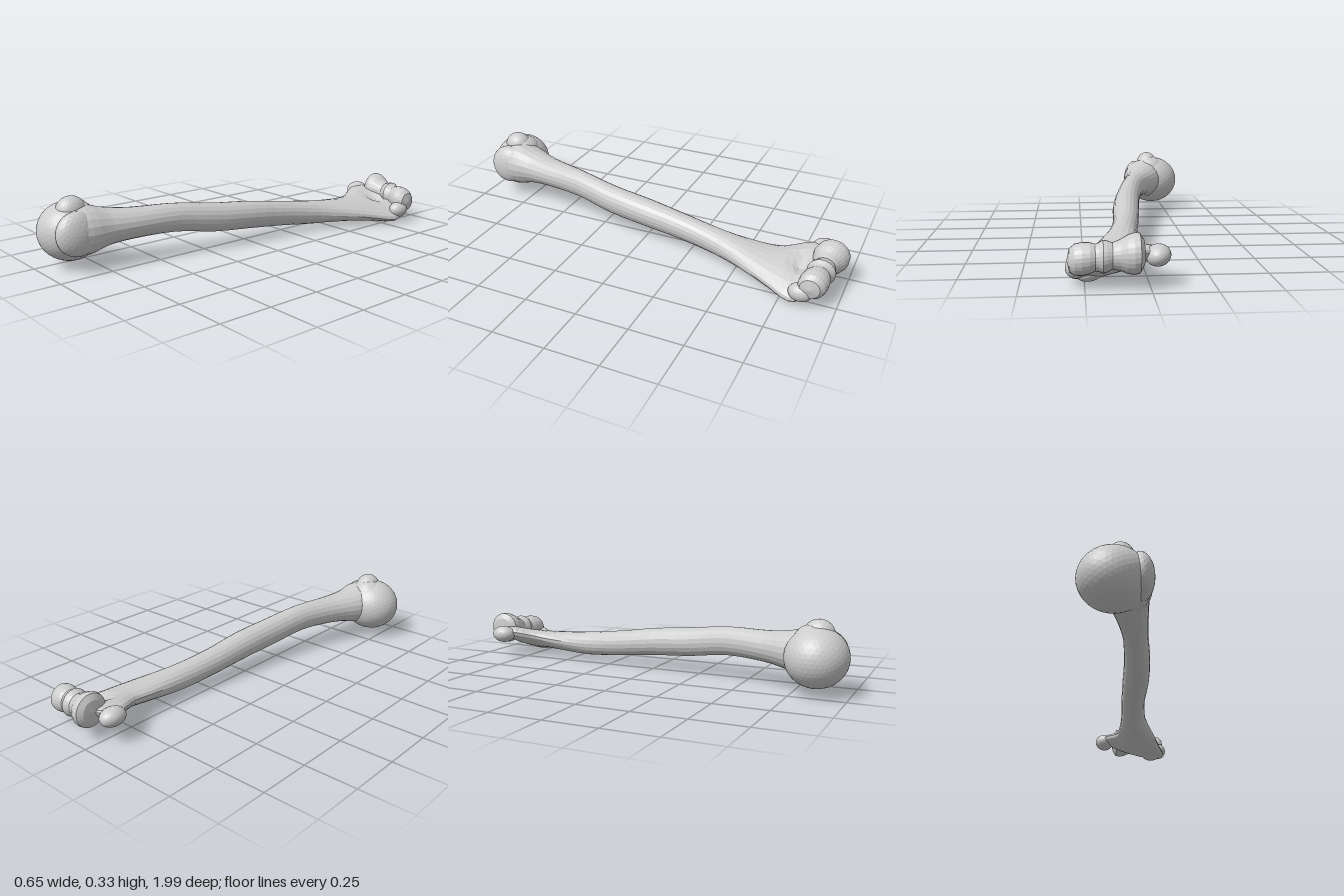
import * as THREE from 'three';

const bone = new THREE.MeshStandardMaterial({ color: 0xcccccc, flatShading: true });
bone.name = 'bone grey';

// Shaft cross-sections: z, centre x, centre y, half width, half height, tilt
const SECTIONS = [
  [0.95, -0.13, 0.17, 0.005, 0.005, 0],
  [0.92, -0.13, 0.17, 0.08, 0.09, 0],
  [0.82, -0.132, 0.172, 0.115, 0.115, 0],
  [0.72, -0.115, 0.175, 0.1, 0.088, 0],
  [0.6, -0.078, 0.177, 0.078, 0.072, 0],
  [0.4, -0.03, 0.177, 0.06, 0.068, 0],
  [0.2, 0.008, 0.15, 0.062, 0.07, 0],
  [0, 0.03, 0.132, 0.065, 0.068, 0],
  [-0.2, 0.045, 0.107, 0.06, 0.063, 0],
  [-0.4, 0.075, 0.085, 0.066, 0.06, -0.1],
  [-0.6, 0.122, 0.075, 0.104, 0.05, -0.2],
  [-0.7, 0.142, 0.072, 0.13, 0.046, -0.27],
  [-0.8, 0.14, 0.075, 0.178, 0.046, -0.3],
  [-0.87, 0.13, 0.09, 0.165, 0.04, -0.25],
  [-0.92, 0.13, 0.11, 0.1, 0.025, -0.2],
  [-0.94, 0.13, 0.11, 0.005, 0.005, -0.2],
];

// Cubic blend of neighbouring sections
function sectionAt(t) {
  const i = Math.min(Math.floor(t), SECTIONS.length - 2), f = t - i;
  const at = (k) => SECTIONS[Math.max(0, Math.min(SECTIONS.length - 1, k))];
  return SECTIONS[0].map((_, c) => {
    const [a, b, d, e] = [at(i - 1)[c], at(i)[c], at(i + 1)[c], at(i + 2)[c]];
    return b + 0.5 * f * (d - a + f * (2 * a - 5 * b + 4 * d - e + f * (3 * (b - d) + e - a)));
  });
}

function shaftGeometry(sides = 20, steps = 3) {
  const pos = [], index = [];
  const rows = (SECTIONS.length - 1) * steps;
  for (let r = 0; r <= rows; r++) {
    const [z, cx, cy, a, b, tilt] = sectionAt(r / steps);
    for (let j = 0; j < sides; j++) {
      const q = (j / sides) * Math.PI * 2;
      const u = a * Math.cos(q), v = b * Math.sin(q);
      const x = cx + u * Math.cos(tilt) - v * Math.sin(tilt);
      let y = cy + u * Math.sin(tilt) + v * Math.cos(tilt);
      // Hollow above the elbow joint
      if (v > 0) y -= 0.03 * Math.exp(-(((x - 0.14) / 0.05) ** 2) - ((z + 0.81) / 0.04) ** 2);
      pos.push(x, y, z);
      if (r < rows) {
        const k = r * sides + j, n = r * sides + ((j + 1) % sides);
        index.push(k, k + sides, n, n, k + sides, n + sides);
      }
    }
  }
  const g = new THREE.BufferGeometry();
  g.setAttribute('position', new THREE.Float32BufferAttribute(pos, 3));
  g.setIndex(index);
  g.computeVertexNormals();
  return g;
}

export function createModel() {
  const group = new THREE.Group();
  const add = (name, geometry) => {
    const mesh = new THREE.Mesh(geometry, bone);
    mesh.name = name;
    group.add(mesh);
    return mesh;
  };
  const knob = (name, [x, y, z], [rx, ry, rz], tilt = 0, detail = 4) => {
    const m = add(name, new THREE.IcosahedronGeometry(1, detail));
    m.position.set(x, y, z);
    m.scale.set(rx, ry, rz);
    m.rotation.z = tilt;
  };

  add('shaft', shaftGeometry());

  // Shoulder end
  knob('head', [-0.183, 0.165, 0.855], [0.147, 0.133, 0.14], 0, 6);
  knob('greaterTubercle', [-0.155, 0.262, 0.855], [0.06, 0.066, 0.07]);
  knob('greaterTubercleSlope', [-0.175, 0.235, 0.83], [0.085, 0.07, 0.08], 0.2);
  knob('lesserTubercle', [-0.077, 0.175, 0.87], [0.056, 0.1, 0.1], 0.1);

  // Elbow end: grooved roller, turned about the x axis then skewed
  const profile = [
    [0, 0.02], [0.05, 0.026], [0.077, 0.042], [0.08, 0.065], [0.073, 0.09], [0.06, 0.115],
    [0.051, 0.145], [0.06, 0.165], [0.064, 0.18], [0.055, 0.197], [0.052, 0.21],
    [0.06, 0.23], [0.064, 0.26], [0.06, 0.288], [0.045, 0.308], [0, 0.318],
  ].map(([r, x]) => new THREE.Vector2(r, x));
  const roller = new THREE.LatheGeometry(profile, 24);
  roller.rotateZ(-Math.PI / 2);
  const p = roller.attributes.position;
  for (let i = 0; i < p.count; i++) {
    const t = (p.getX(i) - 0.06) / 0.22;
    p.setY(i, p.getY(i) + 0.134 - 0.026 * t);
    p.setZ(i, p.getZ(i) - 0.92 + 0.029 * t);
  }
  roller.computeVertexNormals();
  add('elbowRoller', roller);

  // Side knobs of the elbow
  knob('innerEpicondyle', [-0.033, 0.115, -0.872], [0.05, 0.043, 0.062], -0.2);
  knob('outerEpicondyle', [0.283, 0.065, -0.845], [0.042, 0.042, 0.055]);
  knob('outerRidge', [0.23, 0.042, -0.8], [0.06, 0.041, 0.08], -0.2);

  return group;
}
